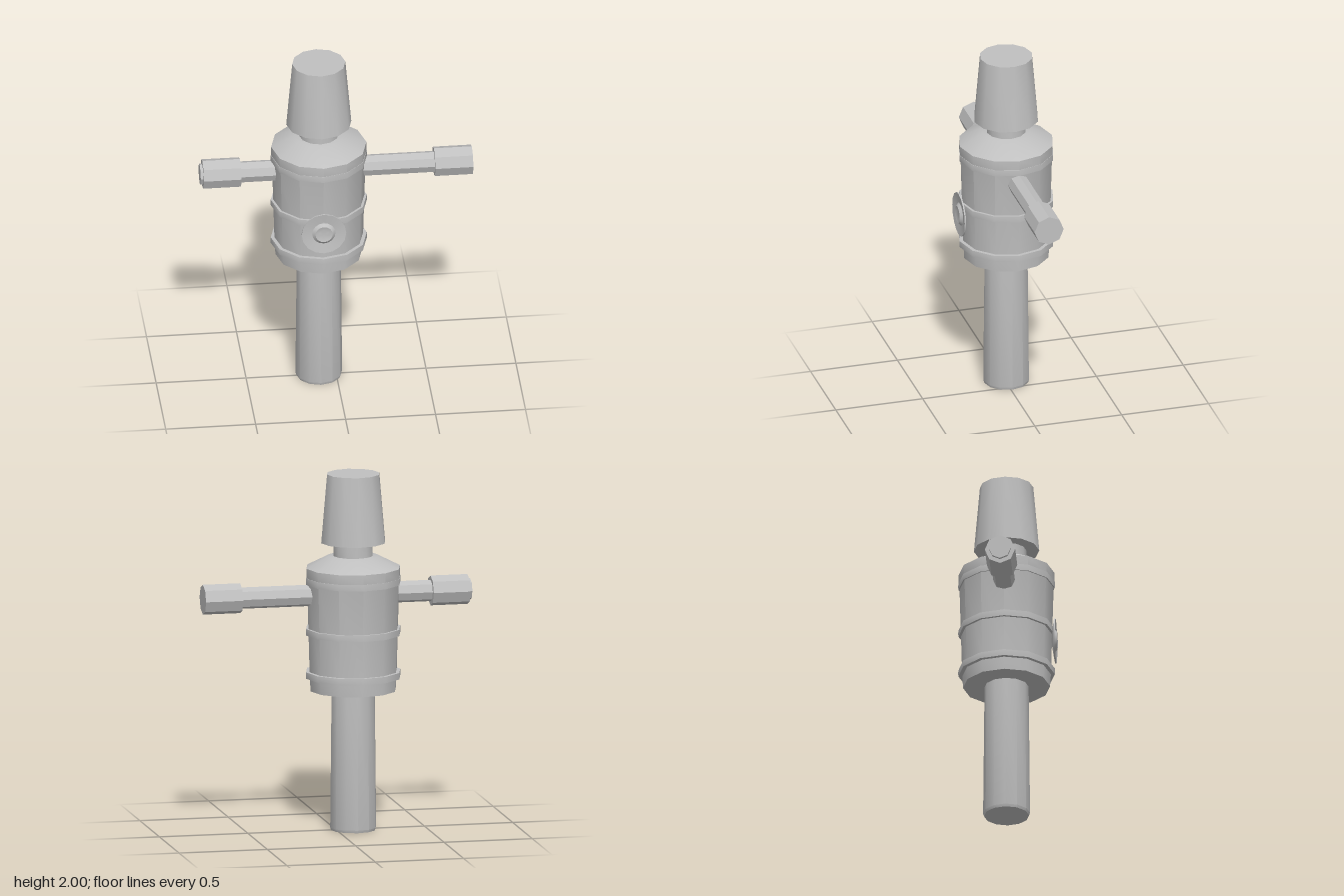
import * as THREE from 'three';
import { toCreasedNormals } from 'three/addons/utils/BufferGeometryUtils.js';

export function createModel() {
  const model = new THREE.Group();
  model.name = 'valve';
  const metal = new THREE.MeshStandardMaterial({ color: 0xc0c0c0 });
  metal.name = 'grey metal';
  const AXIS_X = -0.095, AXIS_Z = -0.008;

  // Turned part from [radius, height] pairs listed bottom to top
  function turned(name, profile, sides = 12) {
    const points = profile.map(([r, y]) => new THREE.Vector2(r, y));
    const mesh = new THREE.Mesh(toCreasedNormals(new THREE.LatheGeometry(points, sides), 0.6), metal);
    mesh.name = name;
    mesh.position.set(AXIS_X, 0, AXIS_Z);
    model.add(mesh);
    return mesh;
  }

  // Octagonal rod along x
  function rod(name, x0, x1, radius) {
    const geometry = new THREE.CylinderGeometry(radius, radius, x1 - x0, 8);
    geometry.rotateZ(Math.PI / 2);
    const mesh = new THREE.Mesh(toCreasedNormals(geometry, 0.6), metal);
    mesh.name = name;
    mesh.position.set((x0 + x1) / 2, 1.325, AXIS_Z);
    model.add(mesh);
  }

  // Lower pipe, barrel with domed shoulder, neck and tapered cap
  turned('lowerPipe', [[0, 0], [0.125, 0], [0.13, 0.015], [0.122, 0.8], [0, 0.8]]);
  turned('barrel', [[0, 0.785], [0.241, 0.785], [0.246, 0.87], [0.261, 1.4], [0.265, 1.41],
    [0.265, 1.475], [0.138, 1.54], [0, 1.54]]);
  turned('neck', [[0.11, 1.53], [0.11, 1.63]]);
  turned('taperedCap', [[0, 1.615], [0.181, 1.615], [0.148, 2], [0, 2]]);

  // Raised bands round the barrel
  for (const y of [0.857, 1.1, 1.385]) {
    turned('band', [[0.235, y], [0.267, y], [0.268, y + 0.018], [0.267, y + 0.036], [0.235, y + 0.036]]);
  }

  // Cross bar with a grip at each end; the bar pokes through the left-hand one
  rod('crossBar', -0.757, 0.6, 0.06);
  rod('grip', -0.742, -0.533, 0.084);
  rod('grip', 0.545, 0.756, 0.084);

  // Dished front disc with a raised centre
  const disc = turned('frontDisc', [[0, 0], [0.05, 0.005], [0.124, 0.017], [0.124, 0.025],
    [0.095, 0.021], [0.065, 0.017], [0.048, 0.032], [0.025, 0.026], [0, 0.03]], 16);
  disc.rotation.x = Math.PI / 2;
  disc.position.set(AXIS_X, 1.06, 0.241);

  return model;
}
